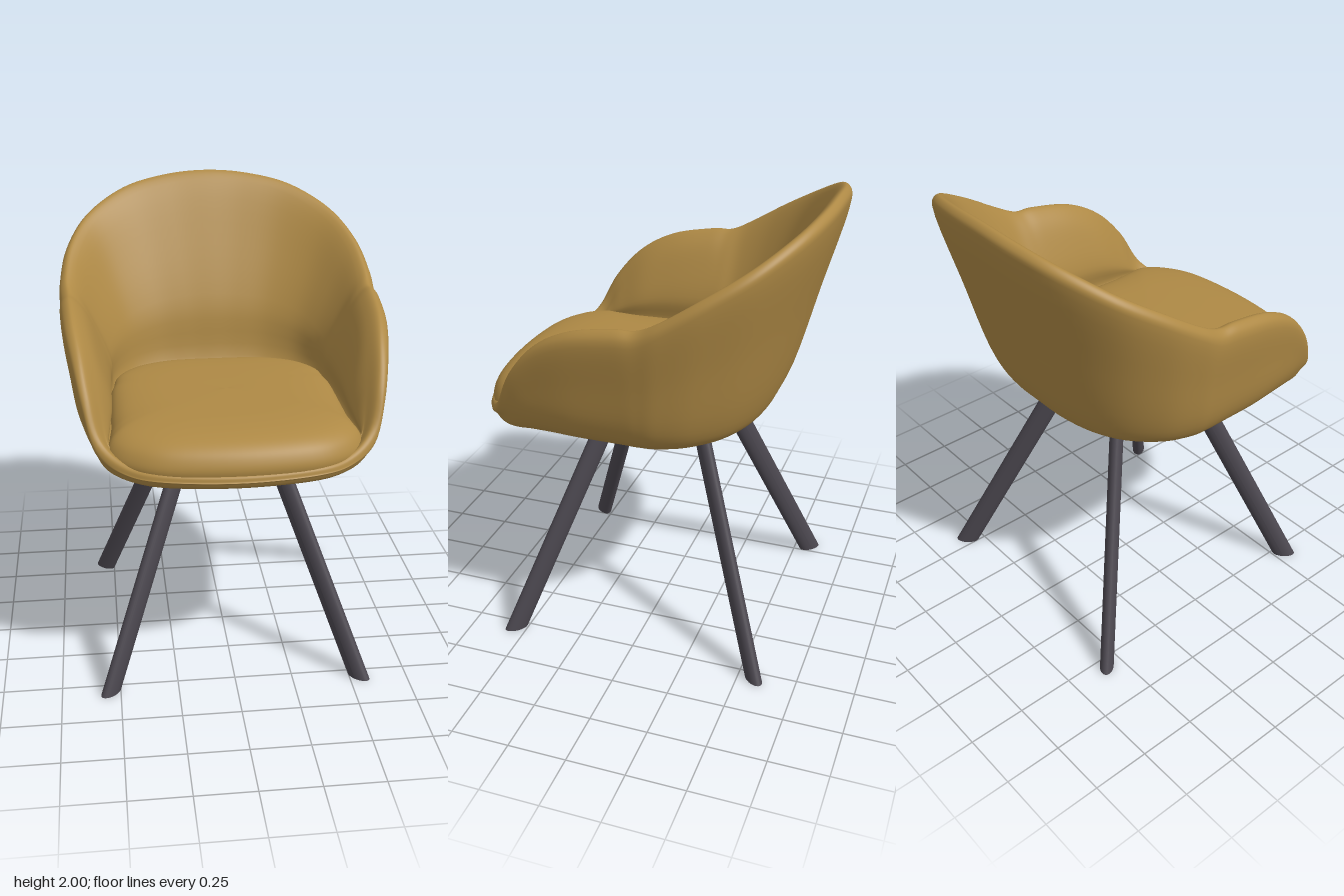
import * as THREE from 'three';

const upholstery = new THREE.MeshStandardMaterial({ color: 0xae8945 });
upholstery.name = 'mustard upholstery';
const metal = new THREE.MeshStandardMaterial({ color: 0x4b474f });
metal.name = 'dark metal';

const V = (x, y, z) => new THREE.Vector3(x, y, z);

// Half outline of the shell, front to back:
// rim x, rim z, rim height, lower wall x, z, inner seat edge x, z, rim thickness
const stations = [
  [0, 0.735, 1.075, 0, 0.73, 0, 0.715, 0.035],
  [0.30, 0.705, 1.08, 0.29, 0.70, 0.28, 0.69, 0.035],
  [0.45, 0.64, 1.095, 0.44, 0.635, 0.43, 0.62, 0.04],
  [0.56, 0.56, 1.17, 0.54, 0.55, 0.505, 0.53, 0.055],
  [0.61, 0.48, 1.33, 0.58, 0.46, 0.505, 0.44, 0.07],
  [0.645, 0.36, 1.465, 0.605, 0.35, 0.495, 0.34, 0.08],
  [0.675, 0.20, 1.55, 0.625, 0.20, 0.49, 0.20, 0.085],
  [0.69, 0, 1.59, 0.63, 0, 0.48, 0, 0.085],
  [0.69, -0.10, 1.597, 0.63, -0.08, 0.465, -0.08, 0.08],
  [0.69, -0.20, 1.645, 0.62, -0.16, 0.45, -0.16, 0.065],
  [0.66, -0.36, 1.745, 0.57, -0.28, 0.40, -0.235, 0.06],
  [0.57, -0.53, 1.85, 0.46, -0.40, 0.33, -0.29, 0.06],
  [0.40, -0.66, 1.94, 0.32, -0.475, 0.22, -0.33, 0.06],
  [0.20, -0.72, 1.985, 0.16, -0.51, 0.10, -0.34, 0.06],
  [0, -0.735, 2.0, 0, -0.515, 0, -0.34, 0.06],
];
const mirrored = stations.slice(1, -1).reverse()
  .map(([ox, oz, y, wx, wz, ix, iz, t]) => [-ox, oz, y, -wx, wz, -ix, iz, t]);
const loop = [...stations, ...mirrored];
const ring = (pick) => new THREE.CatmullRomCurve3(loop.map(pick), true, 'catmullrom', 0.5);
const rimCurve = ring((s) => V(s[0], s[2], s[1]));
const wallCurve = ring((s) => V(s[3], 0, s[4]));
const innerCurve = ring((s) => V(s[5], 0, s[6]));
const thickness = ring((s) => V(s[7], 0, 0));

// Smooth surface through cross-sections placed around a closed loop
function loft(section, around, along) {
  const pos = [], idx = [];
  for (let j = 0; j < around; j++) {
    const curve = new THREE.CatmullRomCurve3(section(j / around));
    for (let i = 0; i <= along; i++) pos.push(...curve.getPoint(i / along).toArray());
  }
  const n = along + 1;
  for (let j = 0; j < around; j++) {
    for (let i = 0; i < along; i++) {
      const a = j * n + i, b = ((j + 1) % around) * n + i;
      idx.push(a, b, b + 1, a, b + 1, a + 1);
    }
  }
  const geo = new THREE.BufferGeometry();
  geo.setAttribute('position', new THREE.Float32BufferAttribute(pos, 3));
  geo.setIndex(idx);
  geo.computeVertexNormals();
  return geo;
}

// Move a point towards the seat axis and set its height
function inset(p, d, y) {
  const r = Math.hypot(p.x, p.z - 0.05), k = (r - d) / r;
  return V(p.x * k, y, 0.05 + (p.z - 0.05) * k);
}

// Underside, outer wall, rounded rim and padded inner wall in one section
function shellSection(u) {
  const o = rimCurve.getPoint(u), w = wallCurve.getPoint(u), s = innerCurve.getPoint(u);
  const t = thickness.getPoint(u).x, top = o.y;
  const h = 0.16 * (1 - Math.exp(-4.5 * (top - 1)));
  const pad = 0.035 * THREE.MathUtils.smoothstep(top, 1.1, 1.5);
  const wall = V(w.x, 1 + h, w.z);
  const outer = inset(o, 0, top - t * 0.65);
  const innerRim = inset(o, t * 1.15, top - t * 0.55);
  const seatEdge = V(s.x, Math.min(1.13, top - 0.035), s.z);
  const upper = innerRim.clone().lerp(seatEdge, 0.3);
  const lower = innerRim.clone().lerp(seatEdge, 0.65);
  return [
    V(0, 1.0, 0.05),
    inset(w, h * 1.8, 1.002),
    inset(w, h * 0.87, 1 + h * 0.17),
    inset(w, h * 0.33, 1 + h * 0.45),
    wall,
    inset(wall.clone().lerp(outer, 0.5), -0.006, (wall.y + outer.y) / 2),
    outer,
    inset(o, t * 0.15, top - t * 0.2),
    inset(o, t * 0.5, top),
    innerRim,
    inset(upper, pad * 0.8, upper.y),
    inset(lower, pad, lower.y),
    seatEdge,
    V(0, 1.05, 0.1),
  ];
}

// Domed cushion rolling over the front lip: scale of the inner outline and height, edge to centre
const cushionProfile = [[1, 1.04], [1.02, 1.09], [1, 1.13], [0.96, 1.162], [0.88, 1.19], [0.7, 1.212], [0.35, 1.222], [0, 1.225]];
function cushionSection(u) {
  const s = innerCurve.getPoint(u);
  const flat = 0.6 * THREE.MathUtils.smoothstep(-s.z, -0.5, 0.3);
  return cushionProfile.map(([k, y]) =>
    V(s.x * k, THREE.MathUtils.lerp(y, 1.222, flat), 0.15 + (s.z - 0.15) * k));
}

// Oval tube slanting outwards, cut level at both ends
function legGeometry(sx, sz) {
  const geo = new THREE.CylinderGeometry(1, 1, 1, 28);
  geo.scale(0.053, 1, 0.03).rotateY(Math.atan2(-sz, sx)).translate(0, 0.5, 0);
  const p = geo.attributes.position;
  const foot = sz > 0 ? 0.55 : 0.57;
  for (let i = 0; i < p.count; i++) {
    const y = p.getY(i);
    p.setX(i, p.getX(i) + sx * THREE.MathUtils.lerp(0.542, 0.18, y));
    p.setZ(i, p.getZ(i) + sz * THREE.MathUtils.lerp(foot, 0.2, y));
  }
  geo.computeVertexNormals();
  return geo;
}

export function createModel() {
  const model = new THREE.Group();
  model.name = 'armchair';
  const add = (name, geo, mat) => {
    const mesh = new THREE.Mesh(geo, mat);
    mesh.name = name;
    model.add(mesh);
    return mesh;
  };

  add('shell', loft(shellSection, 168, 72), upholstery);
  add('seatCushion', loft(cushionSection, 140, 32), upholstery);

  // Mounting plate and four splayed legs
  add('mountingPlate', new THREE.BoxGeometry(0.42, 0.025, 0.46), metal).position.set(0, 1.003, -0.03);
  for (const sz of [1, -1]) {
    for (const sx of [1, -1]) {
      add((sz > 0 ? 'front' : 'back') + (sx > 0 ? 'Left' : 'Right') + 'Leg', legGeometry(sx, sz), metal);
    }
  }
  return model;
}
